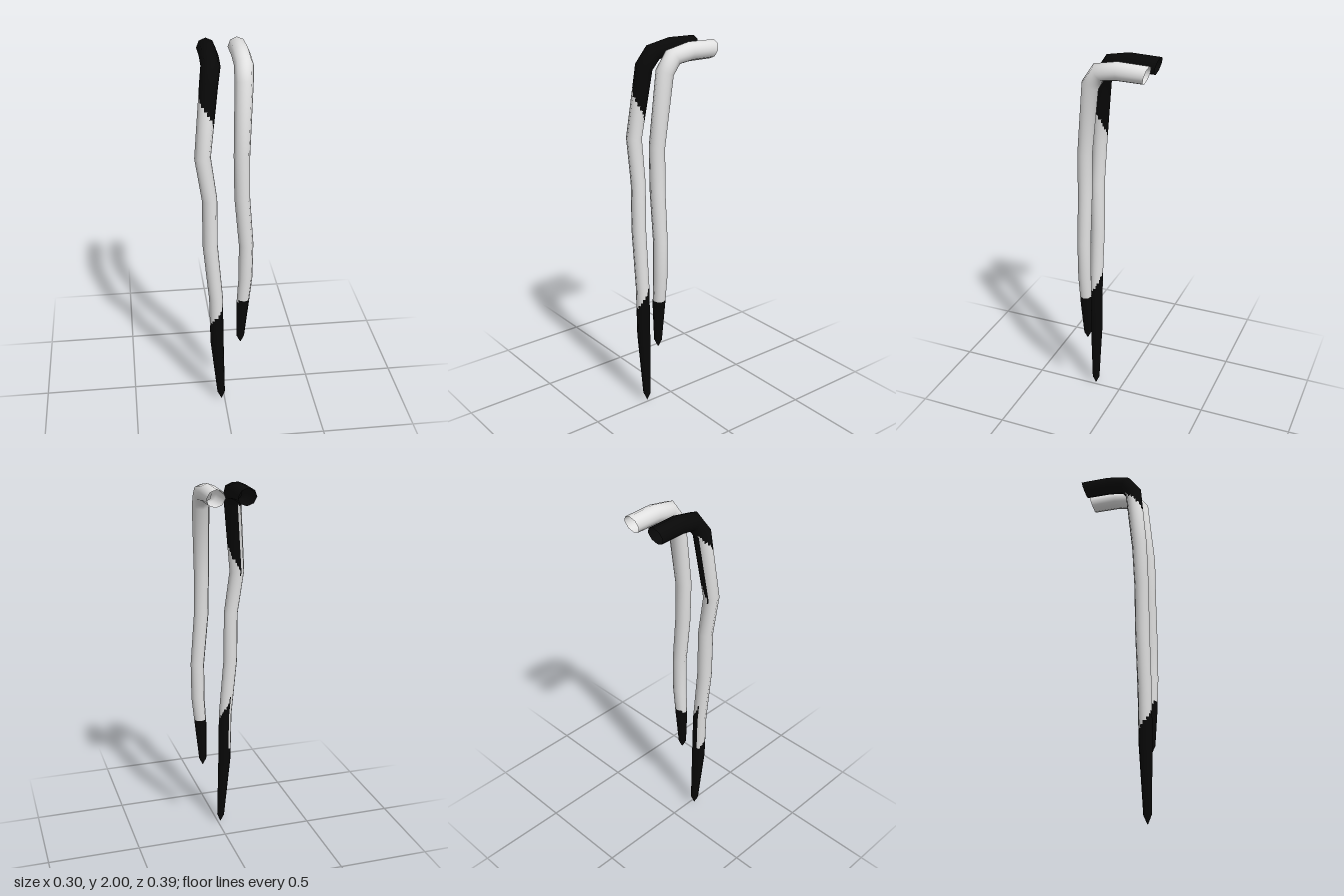
import * as THREE from 'three';

const SIDES = 8, SPLIT = 4, COLS = SIDES * SPLIT, STEP = 0.02;

// Bent octagonal tube through rings [x, y, z, radius]; isDark(y, angle) picks the colour of each patch
function bentTube(name, keys, isDark, materials) {
  const centres = keys.map(k => new THREE.Vector3(k[0], k[1], k[2]));
  const rings = keys.map((k, i) => {
    const dir = (a, b) => centres[b].clone().sub(centres[a]).normalize();
    const T = new THREE.Vector3();
    if (i > 0) T.add(dir(i - 1, i));
    if (i < keys.length - 1) T.add(dir(i, i + 1));
    if (i === 0) T.set(0, 0.27, 0.96); // slanted cut at the open end
    T.normalize();
    const N = new THREE.Vector3(1, 0, 0).addScaledVector(T, -T.x).normalize();
    const B = T.clone().cross(N);
    const radial = a => N.clone().multiplyScalar(Math.cos(a)).addScaledVector(B, Math.sin(a));
    const points = [], normals = [];
    const a = Math.max(i - 1, 0), b = Math.min(i + 1, keys.length - 1);
    const taper = (keys[b][3] - keys[a][3]) / centres[a].distanceTo(centres[b]);
    for (let j = 0; j <= COLS; j++) {
      const s = Math.floor(j / SPLIT), f = (j % SPLIT) / SPLIT;
      const p = radial(s * 2 * Math.PI / SIDES).lerp(radial((s + 1) * 2 * Math.PI / SIDES), f);
      points.push(p.multiplyScalar(k[3]).add(centres[i]));
      normals.push(radial(j * 2 * Math.PI / COLS).addScaledVector(T, -taper).normalize());
    }
    return { points, normals };
  });

  // Short rows between the rings, so the colour edge can wind round the tube
  const pos = [], nor = [], light = [], dark = [];
  let rows = 0;
  const addRow = (r0, r1, f) => {
    for (let j = 0; j <= COLS; j++) {
      pos.push(...r0.points[j].clone().lerp(r1.points[j], f).toArray());
      nor.push(...r0.normals[j].clone().lerp(r1.normals[j], f).normalize().toArray());
    }
    rows++;
  };
  for (let i = 0; i < rings.length - 1; i++) {
    const n = Math.ceil(centres[i].distanceTo(centres[i + 1]) / STEP);
    for (let s = 0; s < n; s++) addRow(rings[i], rings[i + 1], s / n);
  }
  addRow(rings.at(-1), rings.at(-1), 0);

  const W = COLS + 1;
  for (let i = 0; i < rows - 1; i++) {
    for (let j = 0; j < COLS; j++) {
      const a = i * W + j, b = a + 1, c = a + W, d = c + 1;
      const y = (pos[a * 3 + 1] + pos[d * 3 + 1]) / 2;
      (isDark(y, (j + 0.5) / COLS) ? dark : light).push(a, b, c, b, d, c);
    }
  }
  const g = new THREE.BufferGeometry();
  g.setAttribute('position', new THREE.Float32BufferAttribute(pos, 3));
  g.setAttribute('normal', new THREE.Float32BufferAttribute(nor, 3));
  g.setIndex([...light, ...dark]);
  g.addGroup(0, light.length, 0);
  g.addGroup(light.length, dark.length, 1);
  const mesh = new THREE.Mesh(g, materials);
  mesh.name = name;
  return mesh;
}

export function createModel() {
  const model = new THREE.Group();
  model.name = 'pairOfBentStrands';
  const pale = new THREE.MeshStandardMaterial({ color: 0xe0e0e0, side: THREE.DoubleSide });
  pale.name = 'paleGrey';
  const black = new THREE.MeshStandardMaterial({ color: 0x080808, side: THREE.DoubleSide });
  black.name = 'black';
  const materials = [pale, black];

  // Long strand: dark root and dark tip, both edges winding round from a seam at the back
  const turn = u => Math.pow((u - 0.7 + 1) % 1, 0.7);
  model.add(bentTube('longStrand', [
    [-0.058, 1.95, -0.18, 0.048],
    [-0.058, 1.953, -0.035, 0.048],
    [-0.06, 1.937, 0.065, 0.048],
    [-0.074, 1.867, 0.112, 0.046],
    [-0.111, 1.5, 0.152, 0.041],
    [-0.078, 1.27, 0.153, 0.039],
    [-0.076, 1.0, 0.154, 0.039],
    [-0.047, 0.68, 0.155, 0.037],
    [-0.042, 0.4, 0.155, 0.036],
    [-0.019, 0.045, 0.154, 0.021],
    [-0.017, 0.0, 0.154, 0.001],
  ], (y, u) => y > 1.47 + 0.4 * turn(u) || y < 0.79 - 0.33 * turn(u), materials));

  // Short strand: pale with a dark tip
  model.add(bentTube('shortStrand', [
    [0.1, 1.95, -0.18, 0.048],
    [0.1, 1.953, -0.035, 0.048],
    [0.1, 1.937, 0.065, 0.048],
    [0.096, 1.867, 0.112, 0.046],
    [0.084, 1.5, 0.152, 0.041],
    [0.088, 1.27, 0.153, 0.04],
    [0.111, 1.0, 0.154, 0.038],
    [0.11, 0.8, 0.155, 0.037],
    [0.096, 0.63, 0.155, 0.033],
    [0.086, 0.425, 0.154, 0.021],
    [0.087, 0.385, 0.154, 0.001],
  ], y => y < 0.66, materials));

  return model;
}
